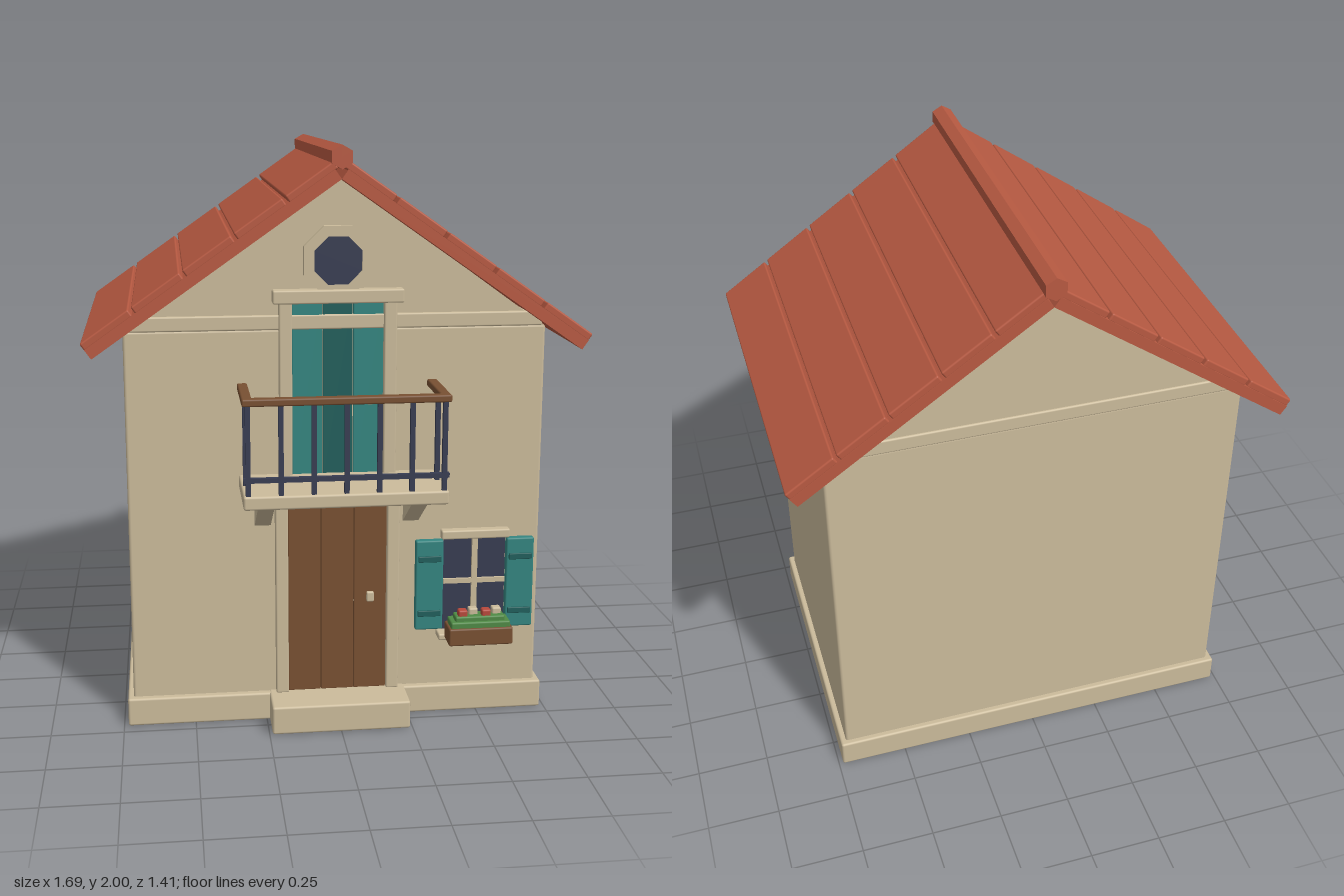
import * as THREE from 'three';
import { RoundedBoxGeometry } from 'three/addons/geometries/RoundedBoxGeometry.js';

const mat = (name, color) => Object.assign(new THREE.MeshStandardMaterial({ color }), { name });

export function createModel() {
  const cream = mat('cream plaster', 0xcbbb9b);
  const terracotta = mat('terracotta', 0xb85a42);
  const teal = mat('teal paint', 0x348580);
  const darkTeal = mat('dark teal paint', 0x215f5c);
  const wood = mat('brown wood', 0x785032);
  const navy = mat('navy glass and iron', 0x383d52);
  const green = mat('leaf green', 0x4f8a45);
  const red = mat('flower red', 0xb8493c);

  const house = new THREE.Group();
  house.name = 'house';

  const add = (parent, name, geometry, material) => {
    const mesh = new THREE.Mesh(geometry, material);
    mesh.name = name;
    parent.add(mesh);
    return mesh;
  };
  // Box from its minimum and maximum corners, with a small soft edge
  const block = (parent, name, material, [x0, x1], [y0, y1], [z0, z1], bevel = 0.006) => {
    const w = x1 - x0, h = y1 - y0, d = z1 - z0;
    const r = Math.min(bevel, Math.min(w, h, d) * 0.3);
    const geometry = r > 0 ? new RoundedBoxGeometry(w, h, d, 2, r) : new THREE.BoxGeometry(w, h, d);
    const mesh = add(parent, name, geometry, material);
    mesh.position.set((x0 + x1) / 2, (y0 + y1) / 2, (z0 + z1) / 2);
    return mesh;
  };
  const group = (name) => {
    const g = new THREE.Group();
    g.name = name;
    house.add(g);
    return g;
  };

  // Walls, base and step
  block(house, 'base', cream, [-0.735, 0.735], [0, 0.1], [-0.61, 0.455], 0.008);
  block(house, 'doorStep', cream, [-0.24, 0.24], [0.002, 0.102], [0.4, 0.585], 0.008);
  block(house, 'walls', cream, [-0.715, 0.715], [0.08, 1.392], [-0.59, 0.432], 0.01);
  block(house, 'eavesBand', cream, [-0.7, 0.7], [1.39, 1.44], [-0.597, 0.442]);

  // Gable prism under the roof
  const triangle = new THREE.Shape();
  triangle.moveTo(-0.715, 1.385);
  triangle.lineTo(0.715, 1.385);
  triangle.lineTo(0, 1.9);
  triangle.closePath();
  const gable = add(house, 'gable', new THREE.ExtrudeGeometry(triangle, { depth: 1.02, bevelEnabled: false }), cream);
  gable.position.z = -0.59;

  // Roof: two sloping slabs with five rows of tiles each
  const slope = Math.atan(0.7);
  for (const turn of [0, Math.PI]) {
    const side = group('roofSide');
    side.position.set(0, 1.891, -0.075);
    side.rotation.y = turn;
    const incline = new THREE.Group();
    incline.name = 'roofSlope';
    incline.rotation.z = -slope;
    side.add(incline);
    block(incline, 'roofSlab', terracotta, [0, 0.9925], [0, 0.038], [-0.615, 0.615], 0);
    for (let i = 0; i < 5; i++) {
      const end = 0.18 + 0.2035 * i;
      block(incline, 'tileRow', terracotta, [end - 0.192, end], [0.034, 0.062], [-0.612, 0.612]);
    }
  }
  const ridge = add(house, 'ridge', new THREE.CylinderGeometry(0.039, 0.039, 1.258, 6).toNonIndexed(), terracotta);
  ridge.geometry.computeVertexNormals();
  ridge.rotation.x = Math.PI / 2;
  ridge.position.set(0, 1.961, -0.077);

  // Octagonal attic window
  const octagon = (Type, apothem) => {
    const path = new Type();
    for (let i = 0; i < 8; i++) {
      const a = (i + 0.5) * Math.PI / 4, r = apothem / Math.cos(Math.PI / 8);
      path[i ? 'lineTo' : 'moveTo'](r * Math.cos(a), r * Math.sin(a));
    }
    path.closePath();
    return path;
  };
  const attic = group('atticWindow');
  attic.position.set(0, 1.62, 0.42);
  const ring = octagon(THREE.Shape, 0.115);
  ring.holes.push(octagon(THREE.Path, 0.08));
  add(attic, 'atticFrame', new THREE.ExtrudeGeometry(ring, { depth: 0.035, bevelEnabled: false }), cream);
  add(attic, 'atticGlass', new THREE.ShapeGeometry(octagon(THREE.Shape, 0.082)), navy).position.z = 0.028;

  // Front door
  const door = group('frontDoor');
  for (const x of [-0.115, 0, 0.115])
    block(door, 'doorPlank', wood, [x - 0.057, x + 0.057], [0.1, 0.78], [0.41, 0.443], 0.004);
  for (const s of [-1, 1])
    block(door, 'doorJamb', cream, [s * 0.194 - 0.022, s * 0.194 + 0.022], [0.1, 0.78], [0.41, 0.46]);
  block(door, 'doorLintel', cream, [-0.228, 0.228], [0.776, 0.826], [0.41, 0.465]);
  block(door, 'doorHandle', cream, [0.102, 0.128], [0.425, 0.461], [0.44, 0.457]);

  // Balcony door
  const upper = group('balconyDoor');
  for (const x of [-0.104, 0, 0.104])
    block(upper, 'balconyDoorPanel', x ? teal : darkTeal, [x - 0.051, x + 0.051], [0.88, 1.485], [0.41, x ? 0.439 : 0.436], 0.004);
  for (const s of [-1, 1])
    block(upper, 'balconyDoorJamb', cream, [s * 0.177 - 0.022, s * 0.177 + 0.022], [0.88, 1.485], [0.41, 0.46]);
  block(upper, 'balconyDoorLintel', cream, [-0.22, 0.22], [1.48, 1.526], [0.41, 0.475]);
  block(upper, 'balconyDoorHandle', cream, [0.1, 0.12], [1.13, 1.16], [0.437, 0.453]);

  // Balcony floor, brackets and railing
  const balcony = group('balcony');
  block(balcony, 'balconyFloor', cream, [-0.337, 0.337], [0.845, 0.892], [0.42, 0.705], 0.008);
  const wedge = new THREE.Shape();
  wedge.moveTo(-0.42, 0.847);
  wedge.lineTo(-0.42, 0.71);
  wedge.lineTo(-0.432, 0.71);
  wedge.lineTo(-0.645, 0.847);
  wedge.closePath();
  const bracketGeometry = new THREE.ExtrudeGeometry(wedge, { depth: 0.055, bevelEnabled: false });
  bracketGeometry.rotateY(Math.PI / 2);
  for (const x of [-0.285, 0.23])
    add(balcony, 'balconyBracket', bracketGeometry, cream).position.x = x;
  block(balcony, 'frontHandrail', wood, [-0.34, 0.34], [1.188, 1.213], [0.67, 0.705]);
  block(balcony, 'lowerRail', navy, [-0.337, 0.337], [0.935, 0.951], [0.682, 0.698], 0);
  const bar = (x, z) => block(balcony, 'railingBar', navy, [x - 0.008, x + 0.008], [0.885, 1.193], [z - 0.008, z + 0.008], 0);
  for (let i = -3; i <= 3; i++) bar(i * 0.107, 0.69);
  for (const s of [-1, 1]) {
    block(balcony, 'sideHandrail', wood, [s * 0.323 - 0.017, s * 0.323 + 0.017], [1.188, 1.213], [0.437, 0.69]);
    bar(s * 0.322, 0.56);
  }

  // Ground floor window, placed by its centre line
  const win = group('window');
  win.position.x = 0.485;
  block(win, 'windowGlass', navy, [-0.11, 0.11], [0.3, 0.65], [0.42, 0.438], 0);
  block(win, 'verticalBar', cream, [-0.01, 0.01], [0.3, 0.65], [0.43, 0.449], 0);
  block(win, 'crossBar', cream, [-0.11, 0.11], [0.478, 0.495], [0.43, 0.448], 0);
  block(win, 'windowLintel', cream, [-0.121, 0.121], [0.644, 0.676], [0.42, 0.463]);
  block(win, 'windowSill', cream, [-0.132, 0.132], [0.283, 0.306], [0.42, 0.49]);
  for (const s of [-1, 1]) {
    const x = s * 0.161;
    block(win, 'shutter', teal, [x - 0.049, x + 0.049], [0.312, 0.64], [0.425, 0.456]);
    for (const y of [0.374, 0.574])
      block(win, 'shutterBatten', darkTeal, [x - 0.041, x + 0.041], [y - 0.011, y + 0.011], [0.45, 0.463], 0.003);
  }

  // Flower box
  const planter = group('flowerBox');
  planter.position.set(0.485, 0, 0);
  block(planter, 'planter', wood, [-0.112, 0.112], [0.295, 0.357], [0.487, 0.579]);
  block(planter, 'lowerLeaves', green, [-0.104, 0.104], [0.35, 0.378], [0.495, 0.571]);
  block(planter, 'upperLeaves', green, [-0.087, 0.087], [0.372, 0.395], [0.505, 0.561]);
  [-0.06, -0.02, 0.022, 0.062].forEach((x, i) => {
    const z = i % 2 ? 0.522 : 0.54;
    block(planter, 'flower', i % 2 ? cream : red, [x - 0.016, x + 0.016], [0.385, 0.416], [z - 0.016, z + 0.016]);
  });

  return house;
}
